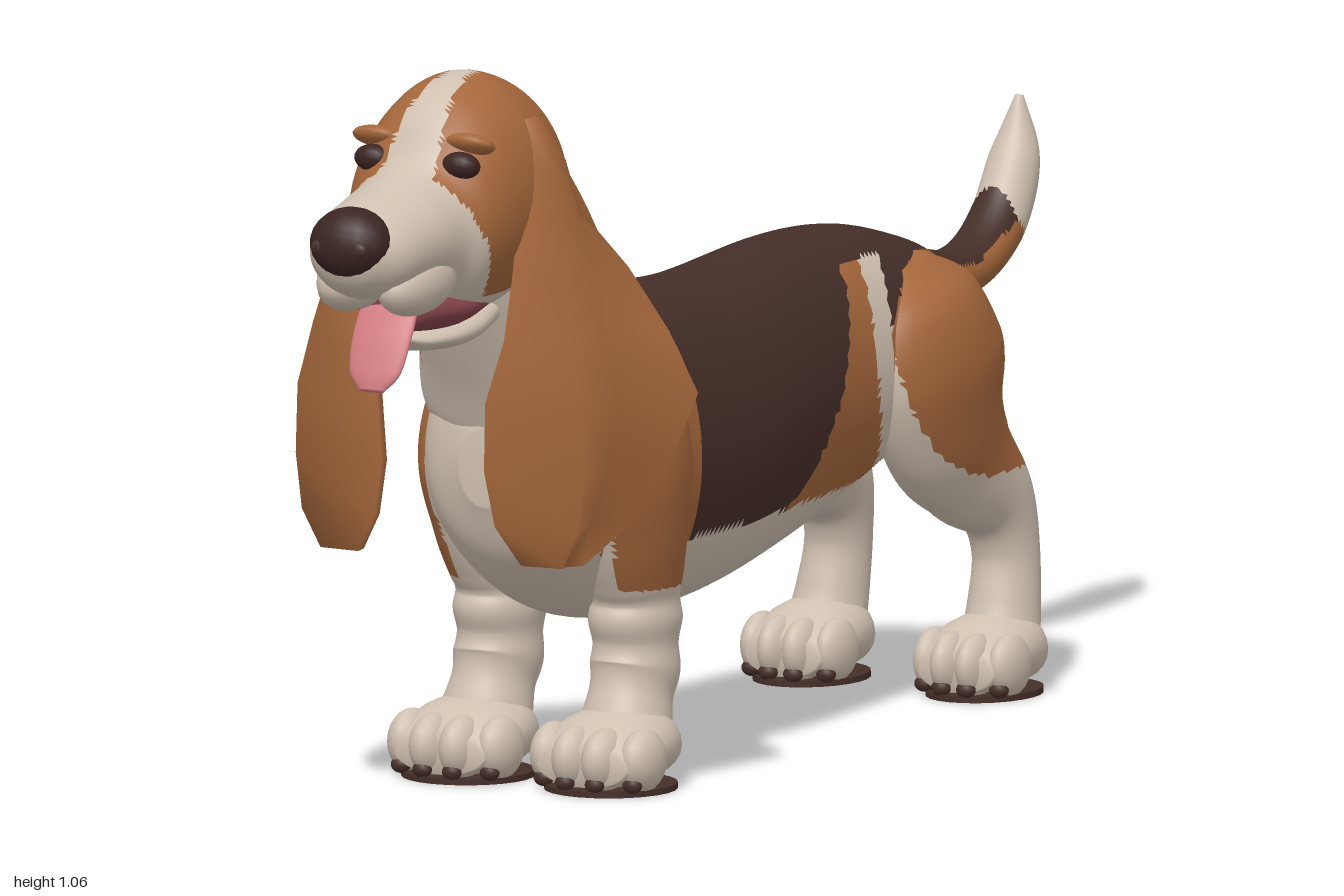
import * as THREE from 'three';

const paint = (name, color) => Object.assign(new THREE.MeshStandardMaterial({ color }), { name });
const V = (x, y, z) => new THREE.Vector3(x, y, z);

export function createModel() {
  const model = new THREE.Group();
  model.name = 'hound';
  const tan = paint('tanFur', 0xa5673b), cream = paint('creamFur', 0xcfc0b0), dark = paint('darkBrownFur', 0x452e28);
  const nose = paint('noseBrown', 0x3a2421), pink = paint('tonguePink', 0xd47d80), red = paint('mouthRed', 0x84434a);
  const mats = [tan, cream, dark];
  const TAN = 0, CREAM = 1, DARK = 2;

  // Skins closed rings and caps both ends; coat(x, y, z) picks the colour of each face
  function skin(name, rings, coat, parent = model) {
    const n = rings[0].length, m = rings.length, pts = rings.flat();
    const mid = r => r.reduce((s, p) => s.add(p), V(0, 0, 0)).divideScalar(n);
    pts.push(mid(rings[0]), mid(rings[m - 1]));
    const faces = [];
    for (let i = 0; i < m - 1; i++) for (let j = 0; j < n; j++) {
      const k = (j + 1) % n, a = i * n, b = a + n;
      faces.push([a + j, a + k, b + j], [a + k, b + k, b + j]);
    }
    for (let j = 0; j < n; j++) {
      const k = (j + 1) % n, e = (m - 1) * n;
      faces.push([n * m, k, j], [n * m + 1, e + j, e + k]);
    }
    const g = new THREE.BufferGeometry().setFromPoints(pts);
    const multi = typeof coat === 'function', buckets = mats.map(() => []);
    for (const f of faces) {
      const c = V(0, 0, 0);
      f.forEach(i => c.addScaledVector(pts[i], 1 / 3));
      buckets[multi ? coat(c.x, c.y, c.z) : 0].push(...f);
    }
    g.setIndex(buckets.flat());
    let start = 0;
    if (multi) buckets.forEach((b, i) => { g.addGroup(start, b.length, i); start += b.length; });
    g.computeVertexNormals();
    const mesh = new THREE.Mesh(g, multi ? mats : coat);
    mesh.name = name;
    parent.add(mesh);
  }

  // Smooth loft through stations [x, y, z, halfWidth, halfDepth]
  function loft(name, st, coat, { steps = 40, segs = 32, dir = null, parent = model } = {}) {
    const path = new THREE.CatmullRomCurve3(st.map(s => V(s[0], s[1], s[2])), false, 'catmullrom');
    const size = new THREE.CatmullRomCurve3(st.map(s => V(s[3], s[4], 0)), false, 'catmullrom');
    const u = V(1, 0, 0), rings = [];
    for (let i = 0; i <= steps; i++) {
      const c = path.getPoint(i / steps), r = size.getPoint(i / steps);
      const v = (dir || path.getTangent(i / steps)).clone().cross(u).normalize(), ring = [];
      for (let j = 0; j < segs; j++) {
        const q = j / segs * Math.PI * 2;
        ring.push(c.clone().addScaledVector(u, Math.max(r.x, .002) * Math.cos(q)).addScaledVector(v, Math.max(r.y, .002) * Math.sin(q)));
      }
      rings.push(ring);
    }
    skin(name, rings, coat, parent);
  }
  // Loft along z from rows [z, top, bottom, halfWidth]
  const along = (name, x, rows, coat, opt = {}) => loft(name,
    rows.map(([z, t, b, w]) => [x, (t + b) / 2, z, w, (t - b) / 2]), coat, { dir: V(0, 0, 1), ...opt });
  function blob(name, p, s, mat, rx = 0, parent = model) {
    const m = new THREE.Mesh(new THREE.SphereGeometry(1, 18, 12), mat);
    m.position.set(...p); m.scale.set(...s); m.rotation.x = rx; m.name = name;
    parent.add(m);
  }

  // Coat markings
  const haunch = (y, z) => ((z + .56) / .2) ** 2 + ((y - .53) / .2) ** 2;
  const shoulder = (y, z) => ((z - .3) / .17) ** 2 + ((y - .45) / .2) ** 2;
  const bodyCoat = (x, y, z) => {
    const ax = Math.abs(x + .01);
    if (y > .68 && ax < .09 && Math.abs(z - .305 - 4 * ax * ax) < .017) return DARK;
    if (y < .34) return CREAM;
    if (z > .22) {
      if (shoulder(y, z) < 1 && ax > .12) return TAN;
      return y + 1.2 * z > 1 || y < .5 ? CREAM : DARK;
    }
    if (z < -.02) {
      const e = haunch(y, z);
      if (z < -.56 || e < 1) return ax > .05 + Math.max(0, z + .62) * .35 || y < .57 ? TAN : DARK;
      if (e < 1.5 && y < .665 && ax > .085) return CREAM;
      if (y < .33 + 4.3 * (z + .02) ** 2 && ax > .085) return TAN;
    }
    return DARK;
  };
  const neckCoat = (x, y, z) => {
    if (y + .9 * z < 1.09) return bodyCoat(x, y, z);
    return Math.abs(x) < .13 && z > .45 + (y - .6) * .65 ? CREAM : TAN;
  };
  const headCoat = (x, y, z) => {
    const ax = Math.abs(x);
    if (y > .85 && z > .62 && ax < .022 + Math.max(0, z - .68) * .2) return CREAM;
    if (z > .765 + (y - .85) * .45) return CREAM;
    return y < .78 && ax < .085 && z > .58 ? CREAM : TAN;
  };

  // Trunk, neck and head
  along('body', -.01, [[-.665, .59, .47, .045], [-.635, .635, .42, .105], [-.55, .667, .37, .142], [-.42, .695, .325, .146],
    [-.25, .702, .27, .142], [0, .685, .225, .162], [.2, .695, .215, .165], [.35, .70, .235, .168], [.45, .68, .28, .152],
    [.52, .62, .34, .115], [.558, .53, .42, .04]], bodyCoat, { steps: 150, segs: 96 });
  loft('neck', [[-.01, .46, .33, .14, .13], [-.01, .6, .4, .172, .168], [-.005, .7, .47, .148, .15], [0, .8, .53, .13, .14],
    [0, .89, .585, .115, .125]], neckCoat, { steps: 80, segs: 80 });
  along('head', 0, [[.465, .93, .84, .035], [.49, .98, .78, .085], [.55, 1.037, .74, .122], [.63, 1.062, .72, .136],
    [.7, 1.045, .715, .132], [.75, 1.005, .725, .12], [.79, .95, .745, .1], [.85, .925, .765, .094], [.92, .905, .77, .084],
    [.96, .885, .79, .058], [.98, .87, .82, .03]], headCoat, { steps: 90, segs: 64 });
  blob('nose', [0, .856, .95], [.063, .052, .046], nose, -.35);
  for (const s of [-1, 1]) {
    blob('upperLip', [s * .05, .79, .85], [.045, .047, .085], cream, .12);
    blob('nostril', [s * .032, .852, .985], [.014, .011, .007], dark);
    blob('eye', [s * .072, .947, .763], [.03, .02, .022], nose, -.6);
    blob('brow', [s * .076, .976, .744], [.04, .014, .026], tan, -.5);
  }

  // Mouth, jaw and tongue
  along('mouth', 0, [[.64, .77, .72, .06], [.74, .77, .705, .076], [.82, .775, .71, .064], [.845, .775, .73, .03]], red);
  along('lowerJaw', 0, [[.58, .76, .70, .05], [.7, .73, .675, .068], [.8, .715, .68, .058], [.845, .712, .695, .03]], cream);
  loft('tongue', [[-.003, .76, .74, .04, .01], [-.003, .765, .815, .044, .011], [-.003, .715, .853, .048, .011],
    [-.003, .66, .877, .042, .01], [-.003, .632, .888, .02, .006]], pink);

  // Long folded ears: rows of [y, front, fold, dent, rear] as x, z pairs
  const earRows = [
    [1.0, .105, .64, .12, .63, .12, .61, .105, .59],
    [.94, .115, .665, .152, .645, .15, .60, .12, .57],
    [.86, .12, .685, .168, .66, .165, .59, .145, .55],
    [.78, .12, .70, .19, .68, .185, .58, .21, .525],
    [.69, .115, .715, .215, .69, .20, .58, .265, .505],
    [.6, .09, .725, .235, .70, .22, .575, .305, .49],
    [.5, .085, .72, .238, .70, .215, .585, .27, .505],
    [.42, .10, .715, .228, .70, .20, .615, .24, .56],
    [.365, .135, .70, .2, .695, .195, .68, .212, .655]];
  for (const s of [-1, 1]) {
    const rings = earRows.map(([y, ...p]) => {
      const at = (k, dx = 0, dz = 0) => V(s * (p[k * 2] - dx), y, p[k * 2 + 1] + dz);
      const ring = [at(0), at(1), at(2), at(3), at(3, .02, -.005), at(2, .035, -.01), at(1, .04, -.03), at(0, -.005, -.025)];
      return s > 0 ? ring : ring.reverse();
    });
    skin(s > 0 ? 'leftEar' : 'rightEar', rings.reverse().map(r => r.reverse()).map(r => r.reverse()), tan);
  }

  // Paw with toes, claws and dark pads
  function paw(name, x, z, w) {
    const g = new THREE.Group();
    g.name = name;
    g.position.set(x, 0, z);
    model.add(g);
    along('pawBody', 0, [[-.1, .07, .012, .45 * w], [-.065, .115, .008, .8 * w], [0, .115, .006, .95 * w], [.05, .095, .006, .92 * w],
      [.085, .07, .012, .72 * w]], cream, { steps: 16, segs: 24, parent: g });
    for (const t of [-1.5, -.5, .5, 1.5]) {
      const tz = Math.abs(t) > 1 ? .035 : .058;
      blob('toe', [t * .49 * w, .05, tz], [.3 * w, .046, .046], cream, 0, g);
      blob('claw', [t * .49 * w, .018, tz + .03], [.015, .012, .012], dark, 0, g);
    }
    const pad = new THREE.Mesh(new THREE.CylinderGeometry(1, 1, .009, 24), dark);
    pad.scale.set(.95 * w, 1, .098);
    pad.position.y = .0045;
    pad.name = 'pads';
    g.add(pad);
  }

  // Legs
  for (const s of [-1, 1]) {
    const side = s > 0 ? 'left' : 'right', X = x => s * x - .013;
    const put = rows => rows.map(([x, ...r]) => [X(x), ...r]);
    const frontCoat = (x, y, z) => shoulder(y, z) < 1 && y > .285 && (x + .013) * s > .115 + Math.max(0, z - .36) * .4 ? TAN : CREAM;
    const hindCoat = (x, y, z) => {
      if ((x + .013) * s < .085 && y < .5) return CREAM;
      return haunch(y, z) < 1 || (z < -.56 && y > .325) ? TAN : CREAM;
    };
    loft(side + 'FrontLeg', put([[.1, .625, .33, .03, .04], [.115, .57, .34, .068, .09], [.122, .47, .35, .08, .118],
      [.118, .37, .335, .076, .1], [.115, .3, .32, .066, .082], [.112, .265, .315, .061, .072], [.112, .235, .315, .064, .078],
      [.112, .2, .315, .059, .069], [.113, .165, .318, .062, .074], [.114, .13, .33, .059, .065], [.116, .09, .345, .066, .066],
      [.12, .05, .36, .07, .068]]), frontCoat, { steps: 90, segs: 48 });
    paw(side + 'FrontPaw', X(.118), .395, .1);
    loft(side + 'HindLeg', put([[.09, .64, -.475, .03, .05], [.115, .59, -.485, .066, .115], [.128, .5, -.5, .077, .148],
      [.128, .41, -.53, .07, .135], [.127, .34, -.59, .06, .1], [.132, .275, -.665, .052, .07], [.138, .2, -.688, .047, .055],
      [.142, .12, -.677, .052, .056], [.145, .05, -.655, .06, .06]]), hindCoat, { steps: 90, segs: 56 });
    paw(side + 'HindPaw', X(.143), -.62, .084);
  }

  // Upturned tail with a pale tip
  const tailLine = z => .59 + Math.max(0, -.8 - z) * .45;
  loft('tail', [[-.018, .6, -.52, .045, .035], [-.018, .603, -.61, .046, .042], [-.02, .582, -.69, .043, .04],
    [-.02, .572, -.77, .042, .038], [-.02, .588, -.85, .042, .04], [-.02, .638, -.92, .042, .042],
    [-.02, .72, -.963, .036, .036], [-.02, .805, -.975, .006, .006]],
  (x, y, z) => z < -.9 && y - z > 1.54 ? CREAM : y > tailLine(z) ? DARK : TAN, { steps: 70, segs: 32 });

  return model;
}
